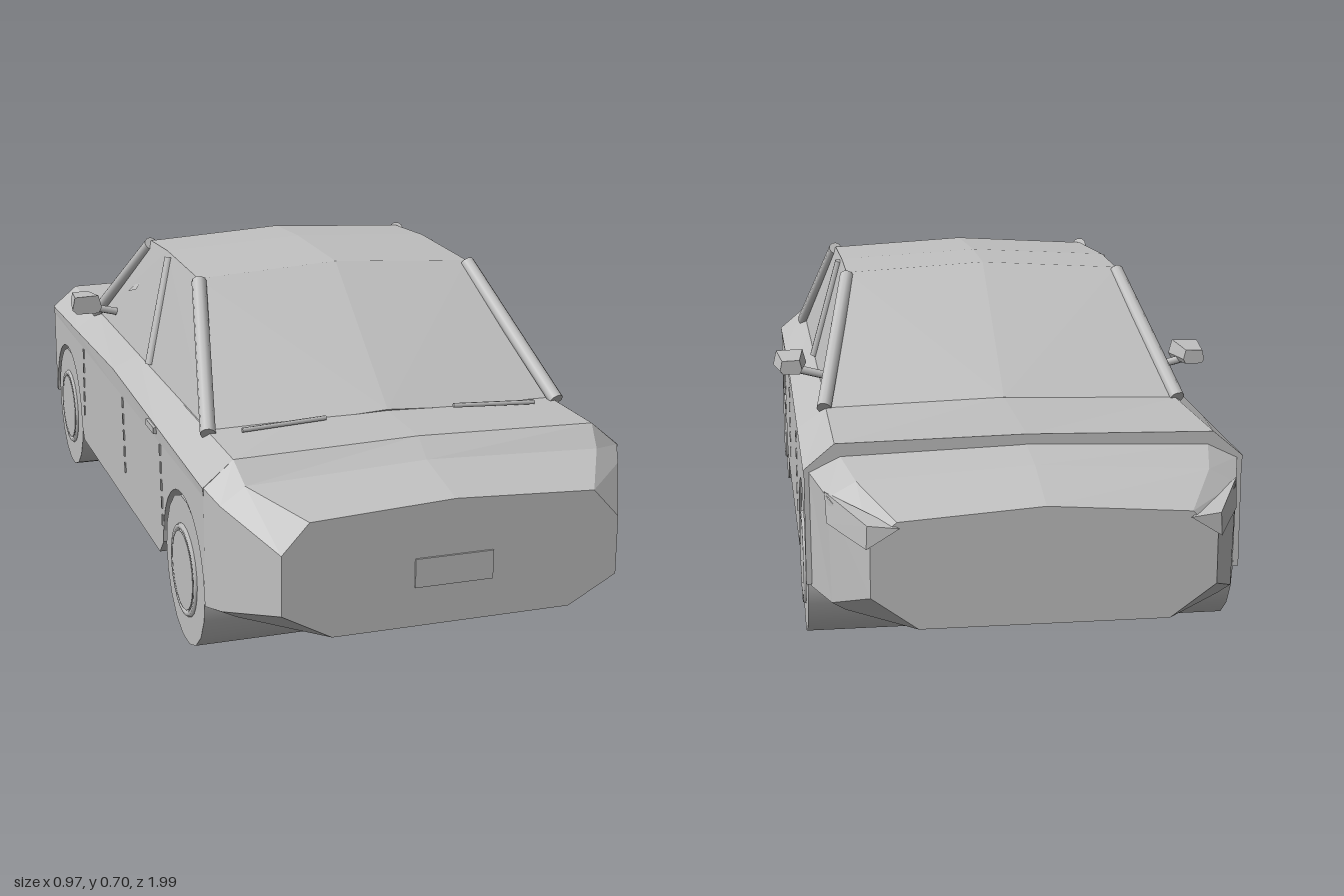
import * as THREE from 'three';
import { ConvexGeometry } from 'three/addons/geometries/ConvexGeometry.js';

// Closed loft through mirrored sections, listed from low z to high z.
// Each section: { z, half: [[x, y], ...] } from bottom centre to top centre.
function loft(sections) {
  const rings = sections.map(({ z, half }) => {
    const left = half.slice(1, -1).reverse().map(([x, y]) => [-x, y]);
    return [...half, ...left].map(([x, y]) => [x, y, z]);
  });
  const pos = [];
  const tri = (a, b, c) => pos.push(...a, ...b, ...c);
  const n = rings[0].length;
  for (let r = 0; r < rings.length - 1; r++) {
    for (let i = 0; i < n; i++) {
      const j = (i + 1) % n;
      const [a, b, c, d] = [rings[r][i], rings[r][j], rings[r + 1][j], rings[r + 1][i]];
      tri(a, b, c);
      tri(a, c, d);
    }
  }
  const first = rings[0], last = rings[rings.length - 1];
  for (let i = 1; i < n - 1; i++) {
    tri(first[0], first[i + 1], first[i]);
    tri(last[0], last[i], last[i + 1]);
  }
  const g = new THREE.BufferGeometry();
  g.setAttribute('position', new THREE.Float32BufferAttribute(pos, 3));
  g.computeVertexNormals();
  return g;
}

const V = (x, y, z) => new THREE.Vector3(x, y, z);

// Round rod between two points
function rod(a, b, radius, sides = 10) {
  const dir = b.clone().sub(a);
  const g = new THREE.CylinderGeometry(radius, radius, dir.length(), sides);
  g.applyQuaternion(new THREE.Quaternion().setFromUnitVectors(V(0, 1, 0), dir.clone().normalize()));
  const m = a.clone().add(b).multiplyScalar(0.5);
  return g.translate(m.x, m.y, m.z);
}

function box(w, h, d, x, y, z) {
  return new THREE.BoxGeometry(w, h, d).translate(x, y, z);
}

export function createModel() {
  const car = new THREE.Group();
  car.name = 'sedan';
  const grey = new THREE.MeshStandardMaterial({ color: 0xc0c0c0 });
  grey.name = 'grey';
  const add = (name, geometry) => {
    const mesh = new THREE.Mesh(geometry, grey);
    mesh.name = name;
    car.add(mesh);
    return mesh;
  };

  // Lower body with wheel arches, drawn in side profile and extruded across
  const axles = [0.63, -0.58];
  const side = new THREE.Shape();
  side.moveTo(-0.80, 0.38);
  side.lineTo(-0.80, 0.155);
  side.absarc(-axles[0], 0.155, 0.165, Math.PI, 0, true);
  side.lineTo(-0.43, 0.12);
  side.lineTo(0.39, 0.12);
  side.absarc(-axles[1], 0.155, 0.165, Math.PI, 0, true);
  side.lineTo(0.76, 0.155);
  side.lineTo(0.76, 0.38);
  const lower = new THREE.ExtrudeGeometry(side, { depth: 0.88, bevelEnabled: false, curveSegments: 10 });
  lower.translate(0, 0, -0.44).rotateY(Math.PI / 2);
  add('lowerBody', lower);

  // Shoulders and decks
  const shoulder = (z, crease, crown) => ({
    z, half: [[0, 0.36], [0.43, 0.36], [0.44, 0.37], [0.442, crease], [0.38, 0.44], [0, crown]],
  });
  add('shoulderAndDecks', loft([
    shoulder(-0.76, 0.388, 0.447), shoulder(-0.45, 0.398, 0.455), shoulder(0, 0.413, 0.455),
    shoulder(0.42, 0.40, 0.455), shoulder(0.80, 0.388, 0.45),
  ]));

  // Tapered ends
  add('tailEnd', loft([
    { z: 0.80, half: [[0, 0.135], [0.41, 0.135], [0.44, 0.145], [0.44, 0.388], [0.38, 0.44], [0, 0.45]] },
    { z: 0.845, half: [[0, 0.135], [0.39, 0.135], [0.42, 0.15], [0.42, 0.365], [0.37, 0.40], [0, 0.415]] },
    { z: 0.992, half: [[0, 0.135], [0.245, 0.135], [0.345, 0.19], [0.345, 0.31], [0.29, 0.37], [0, 0.385]] },
  ]));
  add('noseEnd', loft([
    { z: -0.99, half: [[0, 0.135], [0.24, 0.135], [0.33, 0.20], [0.33, 0.30], [0.28, 0.345], [0, 0.365]] },
    { z: -0.86, half: [[0, 0.135], [0.37, 0.135], [0.395, 0.15], [0.40, 0.36], [0.345, 0.39], [0, 0.41]] },
    { z: -0.755, half: [[0, 0.135], [0.40, 0.135], [0.43, 0.15], [0.432, 0.385], [0.37, 0.415], [0, 0.427]] },
  ]));

  // Cabin
  const cabin = [V(0, 0.455, -0.462), V(0, 0.455, 0.63), V(0, 0.70, -0.135), V(0, 0.707, 0.03), V(0, 0.70, 0.30)];
  for (const s of [-1, 1]) {
    cabin.push(V(s * 0.38, 0.43, -0.46), V(s * 0.38, 0.43, 0.62), V(s * 0.312, 0.682, -0.135),
      V(s * 0.313, 0.69, 0.03), V(s * 0.312, 0.682, 0.30));
  }
  add('cabin', new ConvexGeometry(cabin));

  // Wheels: full-width rollers with hub rings and caps
  for (const z of axles) {
    add('wheelRoller', new THREE.CylinderGeometry(0.155, 0.155, 0.872, 18).rotateZ(Math.PI / 2).translate(0, 0.155, z));
    for (const s of [-1, 1]) {
      add('hubRing', new THREE.TorusGeometry(0.09, 0.007, 6, 24).rotateY(Math.PI / 2).translate(s * 0.436, 0.155, z));
      add('hubCap', new THREE.CylinderGeometry(0.082, 0.082, 0.008, 20).rotateZ(Math.PI / 2).translate(s * 0.438, 0.155, z));
    }
  }

  for (const s of [-1, 1]) {
    // Pillars
    add('windscreenPillar', rod(V(s * 0.384, 0.44, -0.45), V(s * 0.312, 0.675, -0.135), 0.016));
    add('rearPillar', rod(V(s * 0.384, 0.44, 0.63), V(s * 0.312, 0.678, 0.305), 0.016));
    add('doorPillar', rod(V(s * 0.378, 0.445, 0.105), V(s * 0.316, 0.68, 0.06), 0.011));

    // Side mirrors
    const mirror = [];
    for (const [x, y] of [[0.412, 0.50], [0.42, 0.486], [0.475, 0.486], [0.485, 0.497], [0.478, 0.528], [0.42, 0.53]]) {
      mirror.push(V(s * x, y, -0.25), V(s * (0.448 + (x - 0.448) * 0.65), 0.505 + (y - 0.505) * 0.7, -0.34));
    }
    add('sideMirror', new ConvexGeometry(mirror));
    add('mirrorStem', rod(V(s * 0.36, 0.475, -0.29), V(s * 0.435, 0.494, -0.29), 0.009, 8));

    // Small window corner wedges
    add('windowWedge', new ConvexGeometry([
      V(s * 0.33, 0.60, -0.13), V(s * 0.35, 0.565, -0.14), V(s * 0.355, 0.545, -0.21), V(s * 0.33, 0.57, -0.19),
    ]));

    // Corner lamps on the nose
    add('cornerLamp', new ConvexGeometry([
      V(s * 0.405, 0.368, -0.845), V(s * 0.403, 0.31, -0.86), V(s * 0.337, 0.295, -0.992),
      V(s * 0.275, 0.335, -0.998), V(s * 0.335, 0.34, -0.99), V(s * 0.37, 0.33, -0.88),
    ]));

    // Door seams as dashes, with a handle
    for (const z of [0.46, 0.10, -0.36]) {
      for (let i = 0; i < 5; i++) {
        const y = 0.205 + i * 0.038;
        add('doorSeam', box(0.006, 0.024, 0.007, s * 0.44, y, z - (y - 0.28) * 0.08 * Math.sign(z)));
      }
    }
    add('doorHandle', box(0.012, 0.014, 0.07, s * 0.442, 0.39, 0.39));
  }

  // Plate on the tail and wiper strips along the glass
  add('tailPlate', box(0.16, 0.058, 0.006, 0, 0.244, 0.993));
  for (const s of [-1, 1]) {
    add('glassTrim', rod(V(s * 0.32, 0.449, 0.655), V(s * 0.14, 0.455, 0.645), 0.005, 6));
  }
  return car;
}
